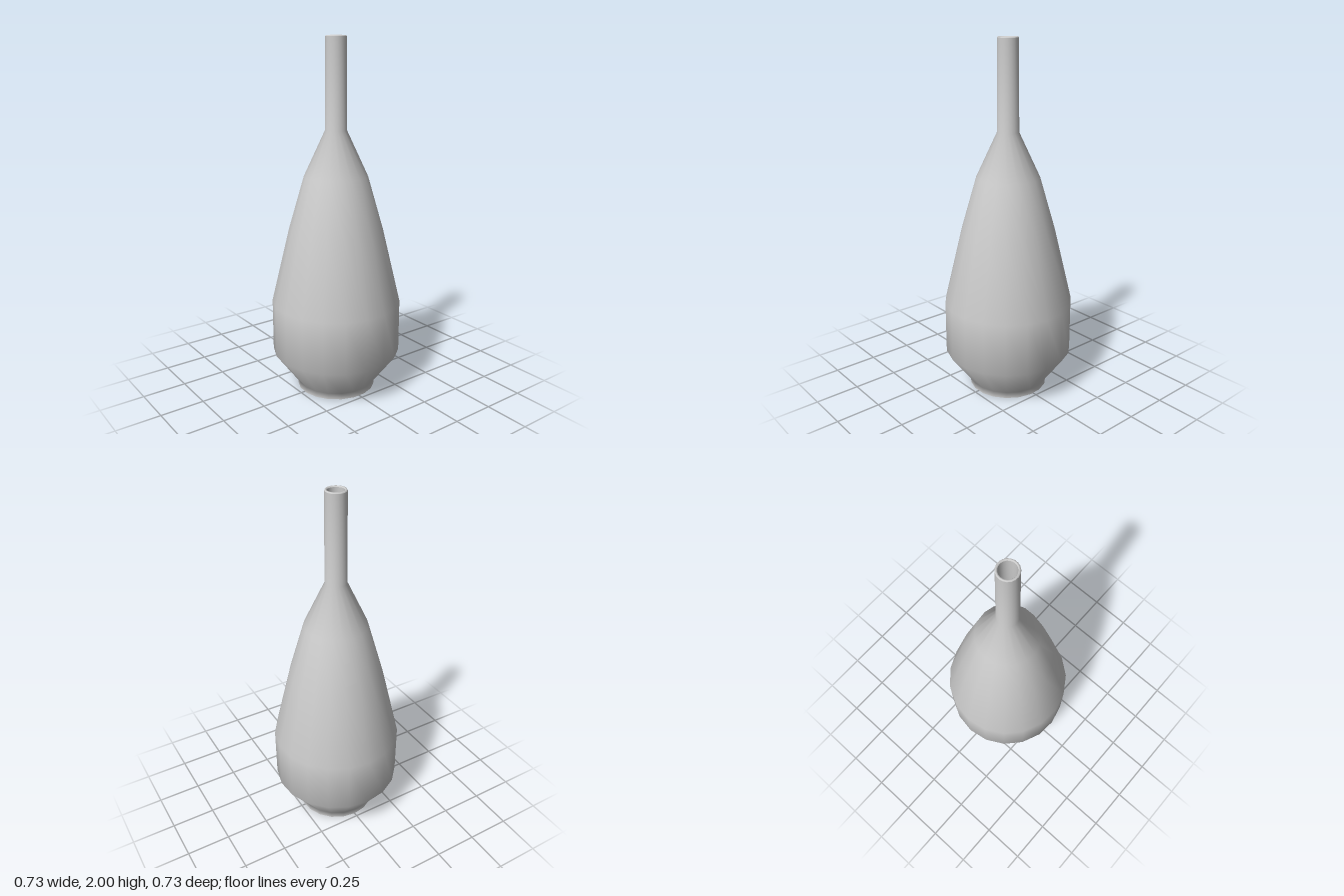
import * as THREE from 'three';

const SIDES = 19;

export function createModel() {
  const group = new THREE.Group();
  group.name = 'vase';
  const material = new THREE.MeshStandardMaterial({ color: 0xcccccc });

  const add = (name, geometry) => {
    const mesh = new THREE.Mesh(geometry, material);
    mesh.name = name;
    group.add(mesh);
    return mesh;
  };
  // Revolve a [radius, height] profile, with a corner pointing to the back
  const lathe = (profile) => new THREE.LatheGeometry(
    profile.map(([r, y]) => new THREE.Vector2(r, y)), SIDES, Math.PI);

  // Outer wall: foot, belly, shoulder and neck
  add('body', lathe([
    [0.226, 0], [0.226, 0.035], [0.367, 0.225], [0.367, 0.525],
    [0.265, 0.95], [0.178, 1.25], [0.061, 1.5], [0.057, 1.994],
  ]));

  // Softly rounded lip
  add('rim', lathe([[0.057, 1.994], [0.054, 2], [0.048, 2], [0.045, 1.994]]));

  // Inner wall, running down to the floor of the hollow
  add('interior', lathe([
    [0.045, 1.994], [0.047, 1.5], [0.164, 1.24], [0.25, 0.945],
    [0.352, 0.52], [0.352, 0.23], [0.215, 0.05], [0, 0.04],
  ]));

  // Flat underside
  const base = add('base', new THREE.CircleGeometry(0.226, SIDES, Math.PI / 2));
  base.rotation.x = Math.PI / 2;
  base.scale.y = 1;
  base.geometry.rotateZ(Math.PI);

  return group;
}
